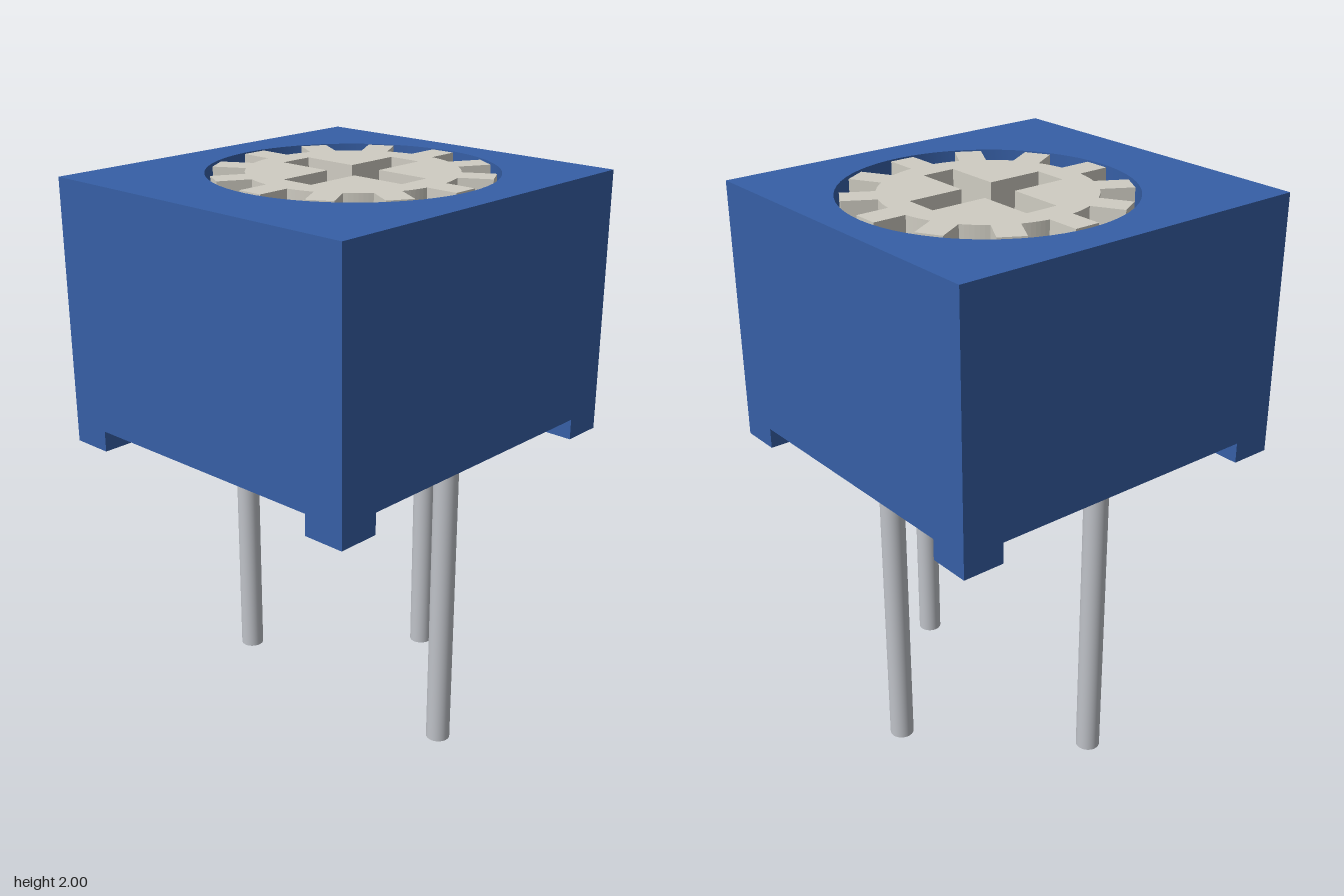
import * as THREE from 'three';
import { toCreasedNormals } from 'three/addons/utils/BufferGeometryUtils.js';

const W = 1.275, D = 1.35, TOP = 2, BOTTOM = 1.135, FOOT_Y = 1.06;
const DIAL_Z = -0.068, RECESS_R = 0.5, DEPTH = 0.13;

export function createModel() {
  const blue = new THREE.MeshStandardMaterial({ color: 0x365fa6 });
  const cream = new THREE.MeshStandardMaterial({ color: 0xcfccc2 });
  const steel = new THREE.MeshStandardMaterial({ color: 0xbfc2c8 });

  const model = new THREE.Group();
  model.name = 'trimmerPotentiometer';
  const add = (name, geometry, material, x, y, z) => {
    const mesh = new THREE.Mesh(geometry, material);
    mesh.name = name;
    mesh.position.set(x, y, z);
    model.add(mesh);
    return mesh;
  };

  // Housing: a box without its top face
  const box = new THREE.BoxGeometry(W, TOP - BOTTOM, D);
  const index = Array.from(box.index.array);
  index.splice(12, 6);
  box.setIndex(index);
  box.clearGroups();
  add('housing', box, blue, 0, (TOP + BOTTOM) / 2, 0);

  // Top face with a round opening
  const face = new THREE.Shape();
  face.moveTo(-W / 2, -D / 2).lineTo(W / 2, -D / 2).lineTo(W / 2, D / 2).lineTo(-W / 2, D / 2).closePath();
  face.holes.push(new THREE.Path().absarc(0, -DIAL_Z, RECESS_R, 0, Math.PI * 2, true));
  add('housingTop', new THREE.ShapeGeometry(face, 32).rotateX(-Math.PI / 2), blue, 0, TOP, 0);

  // Round recess: wall and floor, facing inwards
  const profile = [[RECESS_R, 0], [RECESS_R, -DEPTH], [0, -DEPTH]].map(p => new THREE.Vector2(...p));
  add('recess', toCreasedNormals(new THREE.LatheGeometry(profile, 64), 0.6), blue, 0, TOP, DIAL_Z);

  // Corner feet
  const foot = 0.152;
  for (const sx of [-1, 1]) for (const sz of [-1, 1]) {
    add('foot', new THREE.BoxGeometry(foot, BOTTOM - FOOT_Y, foot), blue,
      sx * (W - foot) / 2, (BOTTOM + FOOT_Y) / 2, sz * (D - foot) / 2);
  }

  // Toothed dial with a cross slot
  const teeth = 12, rootR = 0.365, tipR = 0.481, half = 0.047;
  const rootAngle = Math.asin(half / rootR), step = Math.PI * 2 / teeth;
  const outline = [];
  for (let i = 0; i < teeth; i++) {
    const a = i * step, c = Math.cos(a), s = Math.sin(a);
    for (const t of [-half, half]) outline.push(new THREE.Vector2(tipR * c - t * s, tipR * s + t * c));
    for (let k = 0; k <= 6; k++) {
      const b = a + rootAngle + (step - 2 * rootAngle) * k / 6;
      outline.push(new THREE.Vector2(rootR * Math.cos(b), rootR * Math.sin(b)));
    }
  }
  const dial = new THREE.Shape(outline);
  const w = 0.062, l = 0.269;
  dial.holes.push(new THREE.Path([
    [w, w], [w, l], [-w, l], [-w, w], [-l, w], [-l, -w],
    [-w, -w], [-w, -l], [w, -l], [w, -w], [l, -w], [l, w],
  ].map(p => new THREE.Vector2(...p))));
  const dialGeometry = new THREE.ExtrudeGeometry(dial, { depth: DEPTH, bevelEnabled: false });
  add('dial', dialGeometry.rotateX(-Math.PI / 2), cream, 0, TOP - DEPTH, DIAL_Z);

  // Three pins
  for (const [x, z] of [[-0.492, -0.002], [0.492, -0.002], [0, -0.495]]) {
    add('pin', new THREE.CylinderGeometry(0.043, 0.043, BOTTOM, 32), steel, x, BOTTOM / 2, z);
  }
  return model;
}
